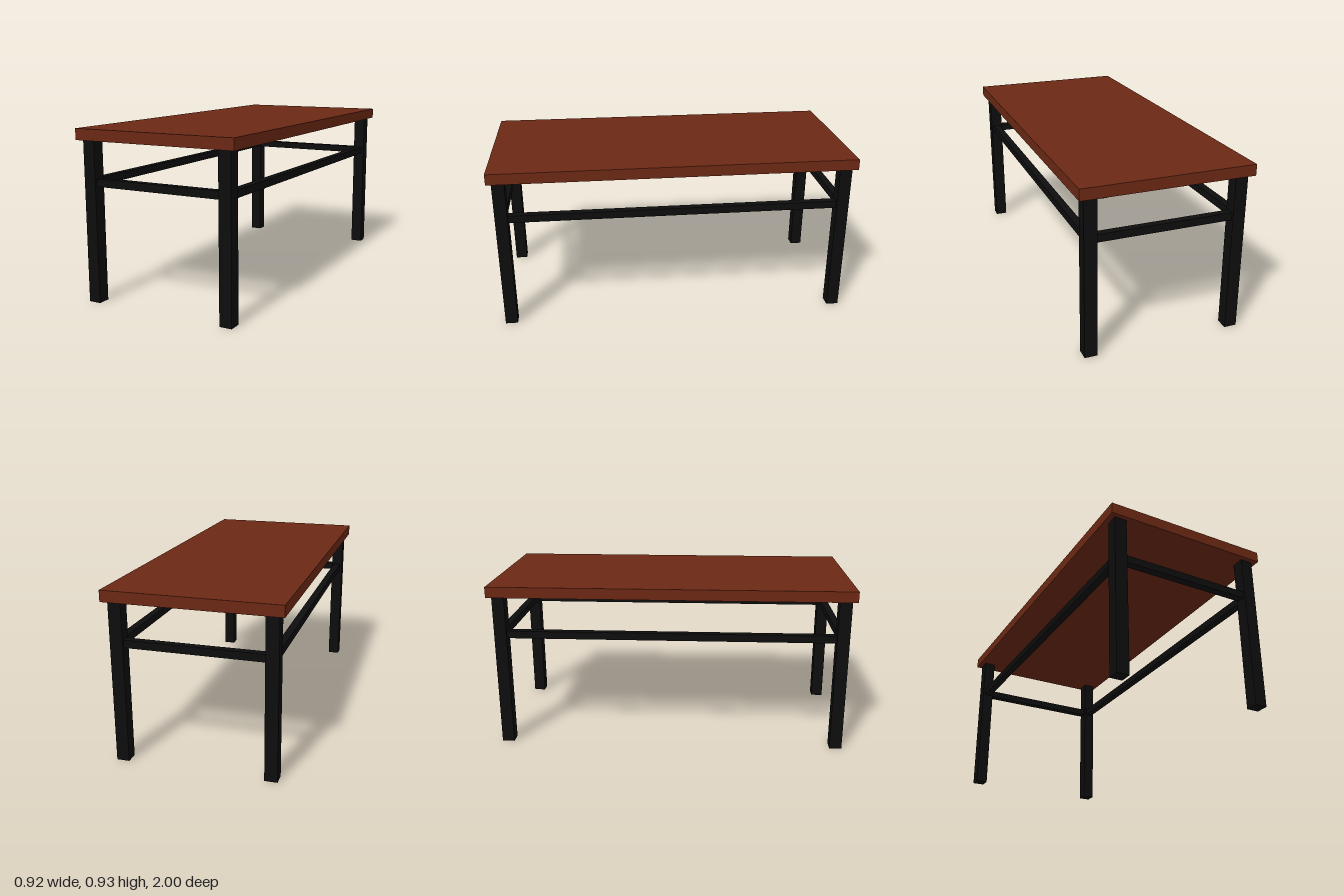
import * as THREE from 'three';

export function createModel() {
  const model = new THREE.Group();
  const wood = new THREE.MeshStandardMaterial({ color: 0x6b2814 });
  const black = new THREE.MeshStandardMaterial({ color: 0x0d0d0d });

  const addBox = (name, size, position, material) => {
    const mesh = new THREE.Mesh(new THREE.BoxGeometry(...size), material);
    mesh.name = name;
    mesh.position.set(...position);
    model.add(mesh);
  };

  const topY = 0.865, topThickness = 0.06;
  const leg = 0.068, legX = 0.398, legZ = 0.942;
  const rail = 0.041, railY = 0.645;

  // Table top
  addBox('tableTop', [0.922, topThickness, 2], [0, topY + topThickness / 2, 0], wood);

  // Square legs, one at each corner
  for (const [xName, sx] of [['Left', 1], ['Right', -1]])
    for (const [zName, sz] of [['front', 1], ['back', -1]])
      addBox(`${zName}${xName}Leg`, [leg, topY, leg], [sx * legX, topY / 2, sz * legZ], black);

  // Rails running between the legs
  for (const [name, s] of [['left', 1], ['right', -1]])
    addBox(`${name}Rail`, [rail, rail, 2 * legZ - leg], [s * legX, railY, 0], black);
  for (const [name, s] of [['front', 1], ['back', -1]])
    addBox(`${name}Rail`, [2 * legX - leg, rail, rail], [0, railY, s * legZ], black);

  return model;
}
